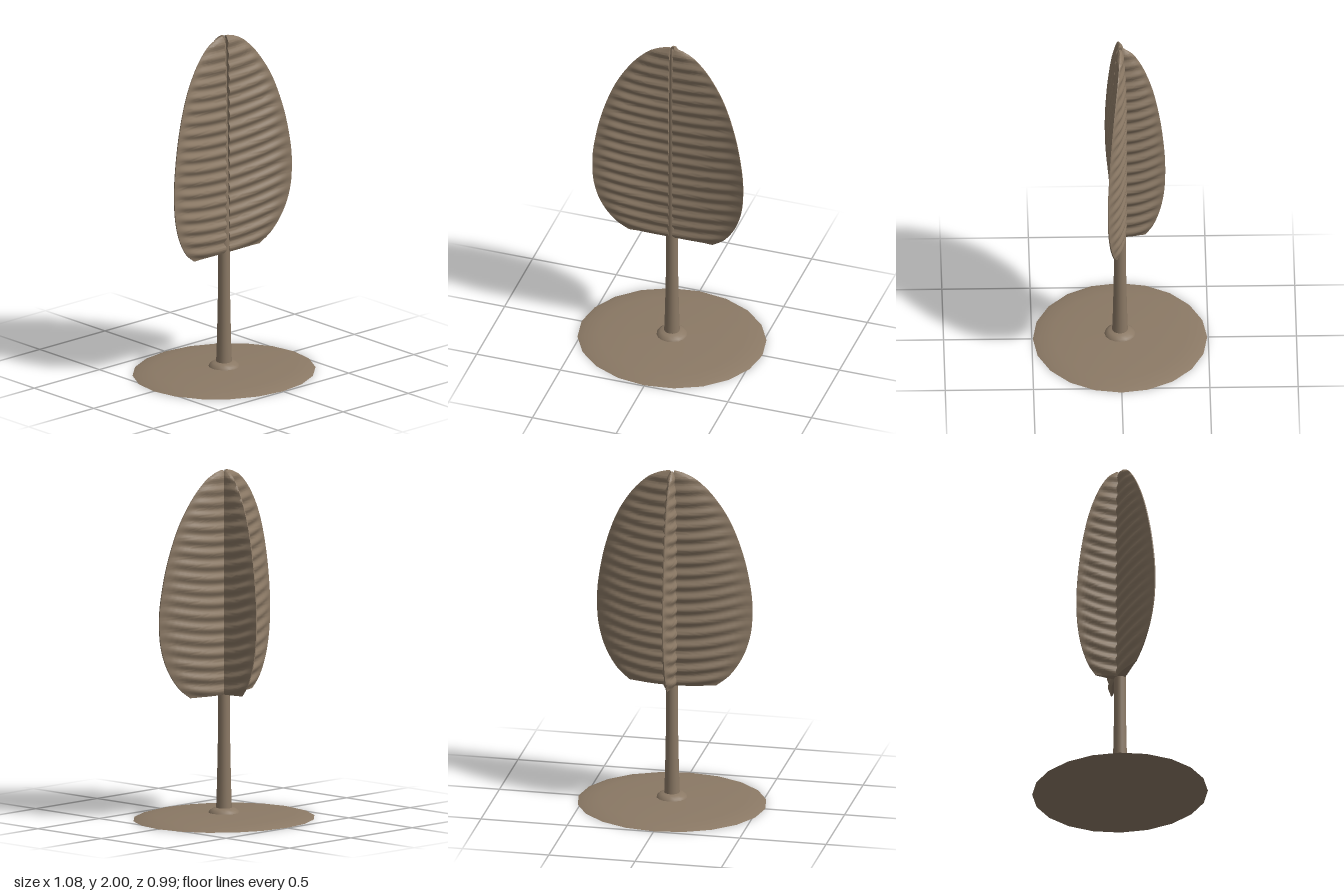
import * as THREE from 'three';
import { toCreasedNormals } from 'three/addons/utils/BufferGeometryUtils.js';

// Half-leaf outline: (distance from the stem, height)
const outline = new THREE.SplineCurve([
  [0.25, 0.715], [0.33, 0.78], [0.40, 0.89], [0.44, 1.02], [0.45, 1.16], [0.44, 1.3],
  [0.40, 1.5], [0.33, 1.7], [0.24, 1.85], [0.15, 1.945], [0.08, 1.985], [0.03, 2.0],
].map(([x, y]) => new THREE.Vector2(x, y)));

// Ribbed blade growing along +x; span scales its width, bend sweeps it towards +z
function bladeGeometry(span, bend) {
  const cols = 14, ribLength = 0.072;
  const rows = outline.getSpacedPoints(170);
  const loop = 2 * (cols + 1);
  const pos = [], index = [];

  for (const { x: w, y } of rows) {
    const width = Math.max(w * span, 0.026);
    const fullness = Math.min(1, Math.sqrt(w / 0.36));
    const inner = 0.012;
    for (let k = 0; k < loop; k++) {
      const front = k <= cols;
      const s = (front ? k : loop - 1 - k) / cols;
      const x = inner + s * (width - inner);
      // ribs rise slightly towards the outer edge
      const rise = 0.07 * (x / (0.45 * span)) ** 2;
      const rib = 0.007 * Math.sin((y - rise) / ribLength * Math.PI * 2);
      const taper = 1 - s ** 2.5;
      const half = (0.029 * taper + 0.003) * fullness + rib * fullness * Math.min(1, taper * 2);
      pos.push(x, y, bend * x * x + (front ? half : -half));
    }
  }

  // skin around every cross-section
  for (let j = 0; j < rows.length - 1; j++) {
    for (let k = 0; k < loop; k++) {
      const a = j * loop + k, b = j * loop + (k + 1) % loop;
      index.push(a, b, b + loop, a, b + loop, a + loop);
    }
  }
  // flat bottom and tip
  const last = (rows.length - 1) * loop;
  for (let k = 0; k < cols; k++) {
    const [a, b, c, d] = [k, k + 1, loop - 2 - k, loop - 1 - k];
    index.push(a, c, b, a, d, c);
    index.push(last + a, last + b, last + c, last + a, last + c, last + d);
  }

  const geo = new THREE.BufferGeometry();
  geo.setAttribute('position', new THREE.Float32BufferAttribute(pos, 3));
  geo.setIndex(index);
  return toCreasedNormals(geo, 1.0);
}

function lathe(points, sides) {
  return new THREE.LatheGeometry(points.map(([r, y]) => new THREE.Vector2(r, y)), sides);
}

export function createModel() {
  const model = new THREE.Group();
  const clay = new THREE.MeshStandardMaterial({ color: 0x8b7965 });
  clay.name = 'brown clay';

  const add = (name, geometry) => {
    const mesh = new THREE.Mesh(geometry, clay);
    mesh.name = name;
    model.add(mesh);
    return mesh;
  };

  // Shallow oval base with a thin rim
  const baseTop = add('baseTop', lathe([[0.54, 0], [0.5, 0.012], [0.42, 0.022], [0.25, 0.031], [0, 0.036]], 20));
  baseTop.scale.z = 0.915;
  const underside = add('baseUnderside', new THREE.CircleGeometry(0.54, 20));
  underside.rotation.x = Math.PI / 2;
  underside.scale.y = 0.915;

  // Collar where the stem meets the base
  add('collar', lathe([[0.09, 0.03], [0.083, 0.045], [0.065, 0.058], [0.04, 0.063]], 16));

  // Tapering stem running up to the tip of the crown
  add('stem', lathe([[0.045, 0.055], [0.04, 0.2], [0.035, 0.45], [0.033, 0.72], [0.03, 1.0],
    [0.022, 1.5], [0.014, 1.9], [0.008, 1.985], [0, 1.995]], 16));

  // Two swept side leaves and one narrower leaf at the back
  const sideBlade = bladeGeometry(1, 0.37);
  add('leftLeaf', sideBlade);
  add('rightLeaf', sideBlade).scale.x = -1;
  add('backLeaf', bladeGeometry(0.57, 0)).rotation.y = Math.PI / 2;

  return model;
}
